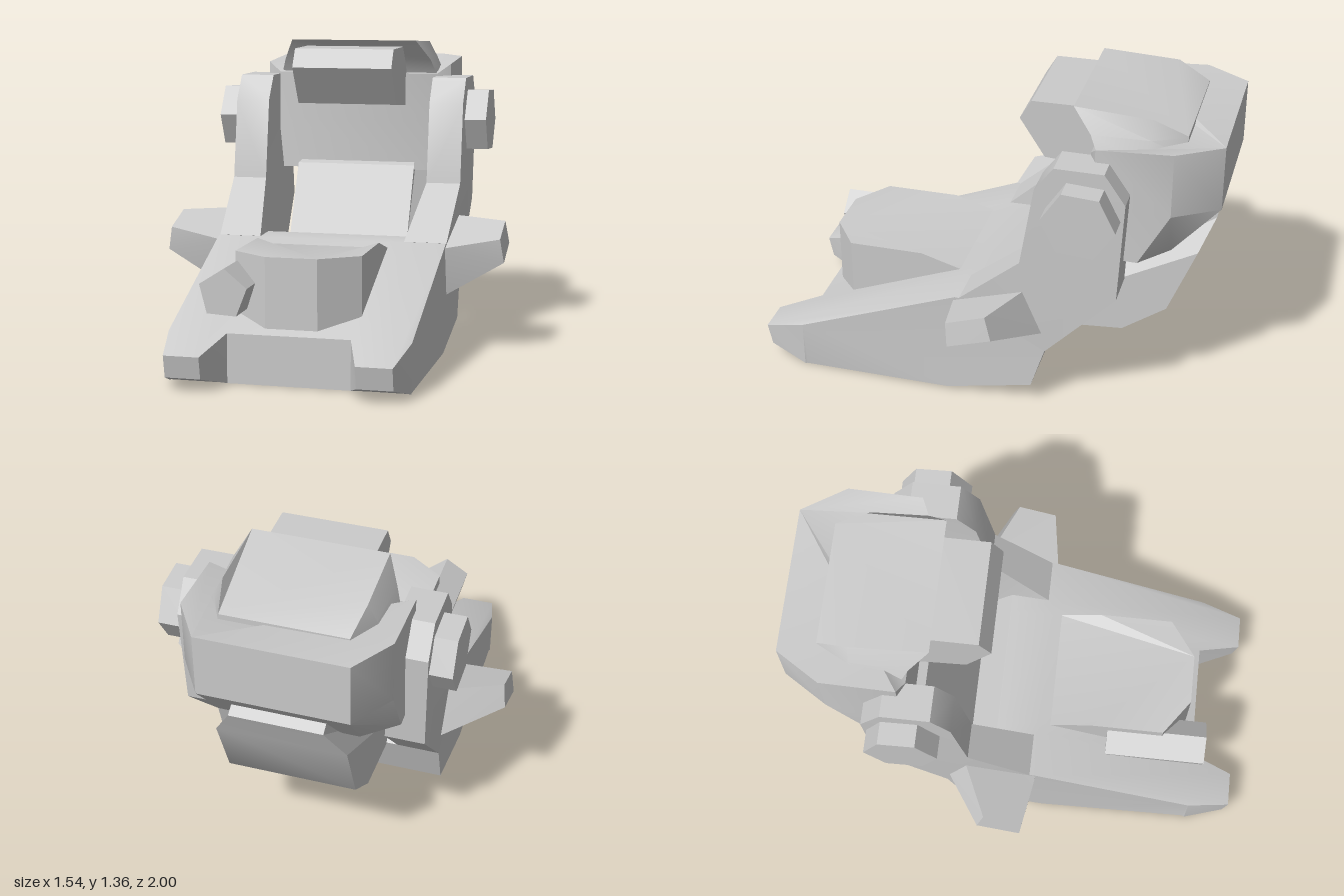
import * as THREE from 'three';
import { toCreasedNormals } from 'three/addons/utils/BufferGeometryUtils.js';

const material = new THREE.MeshStandardMaterial({ color: 0xcccccc });

// Closed solid through rings of equal point count, capped at both ends
function loft(rings) {
  const n = rings[0].length;
  const pos = rings.flat(2);
  const idx = [];
  for (let r = 0; r < rings.length - 1; r++) {
    for (let i = 0; i < n; i++) {
      const a = r * n + i, b = r * n + (i + 1) % n;
      idx.push(a, b, b + n, a, b + n, a + n);
    }
  }
  const last = (rings.length - 1) * n;
  for (let i = 1; i < n - 1; i++) {
    idx.push(0, i + 1, i, last, last + i, last + i + 1);
  }
  // Turn the faces outward if the signed volume is negative
  let volume = 0;
  const p = (i) => new THREE.Vector3().fromArray(pos, i * 3);
  for (let i = 0; i < idx.length; i += 3) {
    volume += p(idx[i]).dot(p(idx[i + 1]).cross(p(idx[i + 2])));
  }
  if (volume < 0) idx.reverse();
  const g = new THREE.BufferGeometry();
  g.setAttribute('position', new THREE.Float32BufferAttribute(pos, 3));
  g.setIndex(idx);
  return g;
}

// Ring in a plane of constant x, from [z, y] points
const sideRing = (x, pts) => pts.map(([z, y]) => [x, y, z]);

// Left-right symmetric ring, from [x, y, z] points of the +x half
const mirrorRing = (half) => [
  ...half,
  ...half.slice().reverse().map(([x, y, z]) => [-x, y, z]),
];

export function createModel() {
  const model = new THREE.Group();
  const add = (name, geometry) => {
    const mesh = new THREE.Mesh(toCreasedNormals(geometry, 0.6), material);
    mesh.name = name;
    model.add(mesh);
    return mesh;
  };

  // Wedge hull with two front prongs, lofted across the width
  const hullSection = (x, nose) => {
    const tip = nose ? [[1, 0.15], [0.98, 0.055]] : [[0.81, 0.21], [0.81, 0.001]];
    const pts = [...tip, [0.8, 0], [0.13, 0.01], [-0.25, 0.09], [-0.31, 0.28], [-0.1, 0.485], [0.09, 0.49]];
    return pts.map(([z, y], i) => {
      const outer = Math.abs(x) > 0.4 && i > 1;
      return [outer ? Math.sign(x) * (z < 0.5 ? 0.52 : 0.505) : x, y, z];
    });
  };
  add('hull', loft([
    [-0.51, false], [-0.47, true], [-0.32, true], [-0.26, false],
    [0.26, false], [0.32, true], [0.47, true], [0.51, false],
  ].map(([x, nose]) => hullSection(x, nose))));

  // Raised block on the front slope
  const turretRing = (y, rearY) => mirrorRing([
    [0.11, y, 0.765], [0.27, y, 0.65], [0.27, y, 0.32], [0.27, rearY, 0.13],
  ]);
  add('turretBlock', loft([turretRing(0.2, 0.2), turretRing(0.525, 0.47)]));

  // Five-sided barrel beside the block
  const barrel = new THREE.CylinderGeometry(0.106, 0.106, 0.45, 5);
  barrel.rotateX(-Math.PI / 2).rotateZ(-0.06).translate(-0.265, 0.38, 0.625);
  add('barrel', barrel);

  // Rear body slung between the arms
  const body = [
    [0.28, 0.35, -0.21], [0.28, 0.77, -0.42], [0.2, 0.9, -0.92], [0.2, 0.87, -0.97],
    [0.28, 0.73, -0.91], [0.28, 0.43, -0.79], [0.28, 0.295, -0.6], [0.28, 0.27, -0.29],
  ];
  add('rearBody', loft([body, body.map(([x, y, z]) => [-x, y, z])]));

  // Head shell
  add('headShell', loft([
    [[0.3, 0.742, -0.8], [0.44, 0.742, -0.68], [0.44, 0.745, -0.49], [0.38, 0.745, -0.46]],
    [[0.32, 0.98, -1], [0.44, 0.98, -0.81], [0.44, 0.98, -0.49], [0.38, 0.98, -0.46]],
    [[0.32, 1.265, -1], [0.44, 1.265, -0.81], [0.44, 1.245, -0.49], [0.38, 1.2, -0.46]],
  ].map(mirrorRing)));

  // Roof cap with flared sides
  add('roofCap', loft([
    [[0.28, 1.18, -0.84], [0.38, 1.18, -0.68], [0.38, 1.18, -0.49]],
    [[0.27, 1.265, -0.84], [0.34, 1.265, -0.7], [0.35, 1.265, -0.45]],
    [[0.27, 1.27, -0.84], [0.3, 1.34, -0.7], [0.295, 1.357, -0.365]],
  ].map(mirrorRing)));

  // Front crossbar
  const bar = [[-0.12, 1.24], [-0.17, 1.325], [-0.39, 1.327], [-0.5, 1.2], [-0.48, 1.05], [-0.23, 1.07]];
  add('crossbar', loft([sideRing(-0.23, bar), sideRing(0.23, bar)]));

  for (const side of [1, -1]) {
    const label = side > 0 ? 'left' : 'right';

    // Support arm, narrowing inward towards the hull
    const armProfile = [
      [0.07, 0.49], [-0.2, 0.72], [-0.26, 1.08], [-0.34, 1.19], [-0.55, 1.19],
      [-0.64, 1.06], [-0.615, 0.6], [-0.31, 0.28],
    ];
    const shape = new THREE.Shape(armProfile.map(([z, y]) => new THREE.Vector2(-z, y)));
    const arm = new THREE.ExtrudeGeometry(shape, { depth: 0.155, bevelEnabled: false });
    arm.rotateY(Math.PI / 2);
    const pos = arm.attributes.position;
    for (let i = 0; i < pos.count; i++) {
      const t = THREE.MathUtils.clamp((0.72 - pos.getY(i)) / 0.23, 0, 1);
      const outer = pos.getX(i) > 0.07;
      const x = outer ? 0.535 - 0.015 * t : 0.38 - 0.05 * t;
      pos.setX(i, x * side);
    }
    if (side < 0) {
      // Restore outward faces after mirroring
      for (let i = 0; i < pos.count; i += 3) {
        const a = new THREE.Vector3().fromBufferAttribute(pos, i);
        const c = new THREE.Vector3().fromBufferAttribute(pos, i + 2);
        pos.setXYZ(i, c.x, c.y, c.z);
        pos.setXYZ(i + 2, a.x, a.y, a.z);
      }
    }
    add(label + 'Arm', arm);

    // Hexagonal pivot cap
    const pivot = new THREE.CylinderGeometry(0.157, 0.157, 0.13, 6);
    pivot.rotateZ(Math.PI / 2).rotateX(-0.06).translate(side * 0.568, 0.992, -0.465);
    add(label + 'Pivot', pivot);

    // Tapered side peg
    add(label + 'Peg', loft([
      sideRing(side * 0.5, [[0.04, 0.245], [-0.31, 0.365], [-0.225, 0.575], [0.1, 0.47]]),
      [[0.772, 0.41, 0.05], [0.77, 0.47, -0.14], [0.755, 0.572, -0.11], [0.755, 0.515, 0.06]]
        .map(([x, y, z]) => [x * side, y, z]),
    ]));
  }

  return model;
}
